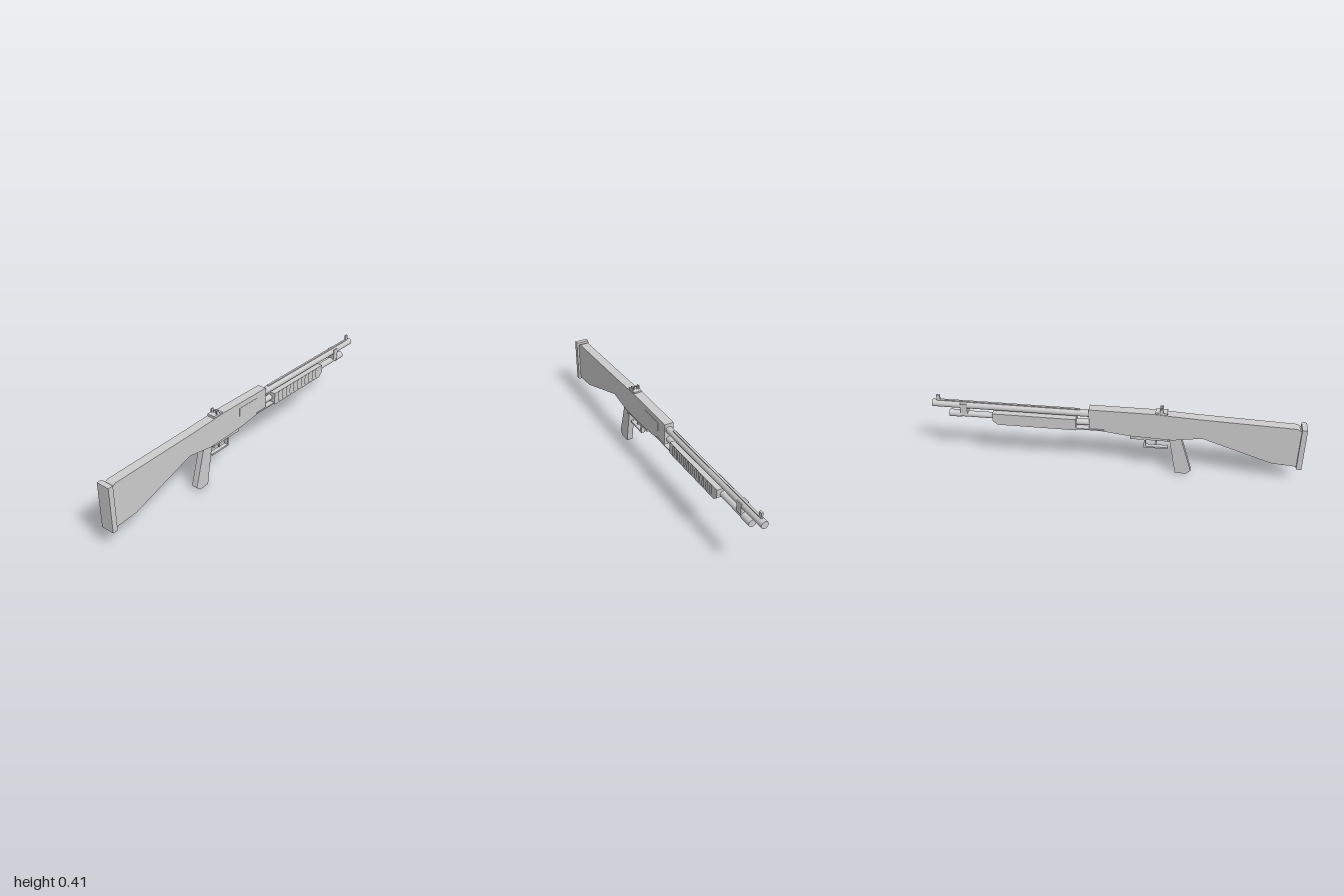
import * as THREE from 'three';

const grey = new THREE.MeshStandardMaterial({ color: 0xcccccc });
grey.name = 'light grey';

export function createModel() {
  const model = new THREE.Group();

  function add(name, geometry, x = 0, y = 0, z = 0) {
    const mesh = new THREE.Mesh(geometry, grey);
    mesh.name = name;
    mesh.position.set(x, y, z);
    model.add(mesh);
    return mesh;
  }

  // Box given by its lower and upper limits on each axis
  function box(name, x0, x1, y0, y1, z0, z1) {
    return add(name, new THREE.BoxGeometry(x1 - x0, y1 - y0, z1 - z0),
      (x0 + x1) / 2, (y0 + y1) / 2, (z0 + z1) / 2);
  }

  // Side profile of [z, y] points extruded across x, with optional holes
  const outline = (pts) => pts.map(([z, y]) => new THREE.Vector2(-z, y));
  function prism(name, pts, x0, x1, holes = []) {
    const shape = new THREE.Shape(outline(pts));
    shape.holes = holes.map((h) => new THREE.Path(outline(h)));
    const g = new THREE.ExtrudeGeometry(shape, { depth: x1 - x0, bevelEnabled: false });
    g.rotateY(Math.PI / 2);
    return add(name, g, x0);
  }

  function tube(name, radius, y, z0, z1) {
    const g = new THREE.CylinderGeometry(radius, radius, z1 - z0, 24).rotateX(Math.PI / 2);
    return add(name, g, 0, y, (z0 + z1) / 2);
  }

  // Stock and receiver in one slab
  prism('stockAndReceiver', [
    [0.975, 0.34], [0.965, 0.34], [0.95, 0.351], [0.44, 0.369], [0.30, 0.376], [0.21, 0.382],
    [-0.14, 0.382], [-0.14, 0.26], [0.08, 0.233], [0.31, 0.225],
    [0.465, 0.25], [0.84, 0.122], [0.975, 0.112],
  ], -0.026, 0.026);
  box('buttPlate', -0.038, 0.038, 0.102, 0.354, 0.972, 1);
  add('slingStud', new THREE.CylinderGeometry(0.007, 0.007, 0.02, 12), 0, 0.112, 0.9);
  box('ejectionPort', 0.0255, 0.0275, 0.302, 0.352, -0.065, 0.08);

  // Pistol grip with cross pin
  prism('grip', [
    [0.352, 0.24], [0.293, 0.235], [0.293, 0.215], [0.33, 0.004], [0.39, 0], [0.415, 0.024],
  ], -0.017, 0.017);
  add('gripPin', new THREE.CylinderGeometry(0.007, 0.007, 0.062, 12).rotateZ(Math.PI / 2), 0, 0.222, 0.29);

  // Trigger group
  box('triggerPlate', -0.018, 0.018, 0.21, 0.245, 0.08, 0.305);
  box('guardBar', -0.012, 0.012, 0.155, 0.164, 0.155, 0.285);
  box('guardPost', -0.012, 0.012, 0.16, 0.212, 0.155, 0.164);
  box('trigger', -0.004, 0.004, 0.175, 0.212, 0.214, 0.224);

  // Barrel, rib and magazine tube
  tube('barrel', 0.02, 0.345, -1, -0.13);
  box('barrelRib', -0.006, 0.006, 0.36, 0.369, -0.97, -0.19);
  tube('magazineTube', 0.017, 0.288, -0.86, -0.13);
  tube('magazineCap', 0.02, 0.288, -0.91, -0.845);
  box('barrelClamp', -0.021, 0.021, 0.298, 0.358, -0.845, -0.807);
  box('frontSight', -0.005, 0.005, 0.36, 0.396, -0.975, -0.957);

  // Fore-end: core with slotted cheeks on both sides
  const foreEnd = [[-0.21, 0.32], [-0.665, 0.32], [-0.665, 0.274], [-0.64, 0.252], [-0.21, 0.252]];
  const slots = [];
  for (let i = 0; i < 11; i++) {
    const z = -0.245 - i * 0.036;
    slots.push([[z, 0.262], [z, 0.315], [z - 0.012, 0.315], [z - 0.012, 0.262]]);
  }
  prism('foreEndCore', foreEnd, -0.029, 0.029);
  prism('foreEndCheekLeft', foreEnd, 0.029, 0.035, slots);
  prism('foreEndCheekRight', foreEnd, -0.035, -0.029, slots);
  box('actionSlide', -0.031, 0.031, 0.256, 0.263, -0.215, -0.06);

  // Rear sight: base, two guards and a ring
  box('rearSightBase', -0.023, 0.023, 0.375, 0.39, 0.213, 0.277);
  for (const s of [-1, 1]) {
    add(s > 0 ? 'sightGuardLeft' : 'sightGuardRight',
      new THREE.BoxGeometry(0.007, 0.022, 0.018), s * 0.0185, 0.399, 0.245);
  }
  add('sightRing', new THREE.TorusGeometry(0.0095, 0.0025, 8, 20), 0, 0.397, 0.245);

  return model;
}
